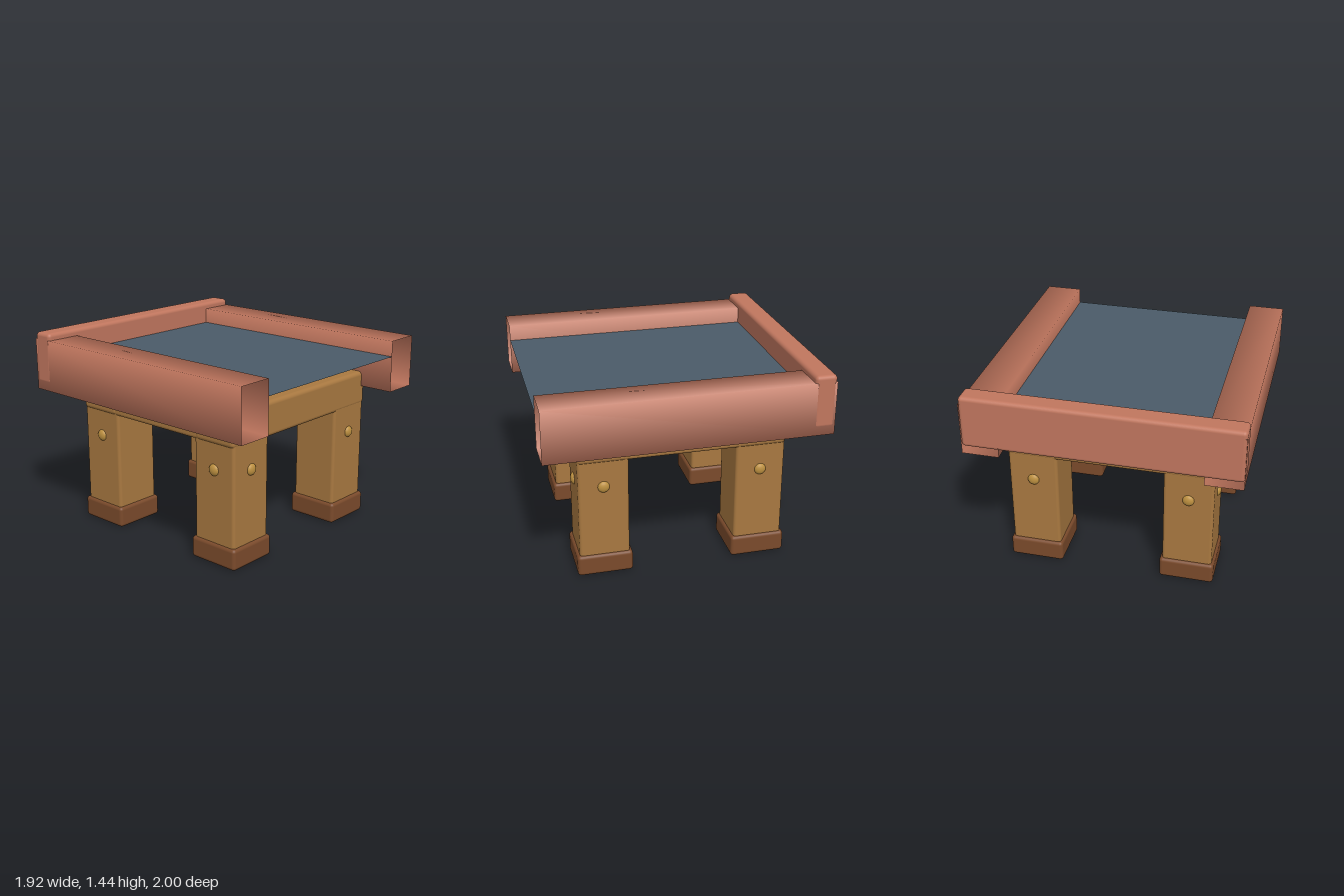
import * as THREE from 'three';
import { RoundedBoxGeometry } from 'three/addons/geometries/RoundedBoxGeometry.js';

function material(name, color, side = THREE.FrontSide) {
  const m = new THREE.MeshStandardMaterial({ color, side });
  m.name = name;
  return m;
}

export function createModel() {
  const model = new THREE.Group();
  model.name = 'table';

  const rail = material('terracotta', 0xc0765e, THREE.DoubleSide);
  const slate = material('slate', 0x4a5b68, THREE.DoubleSide);
  const wood = material('wood', 0xa87840);
  const darkWood = material('darkWood', 0x7a4a2b);
  const brass = material('brass', 0xbd9040);

  function add(name, geometry, mat, parent = model) {
    const mesh = new THREE.Mesh(geometry, mat);
    mesh.name = name;
    parent.add(mesh);
    return mesh;
  }

  // Rounded block given by its minimum and maximum corners
  function block(name, min, max, radius, mat, parent) {
    const size = max.map((v, i) => v - min[i]);
    const mesh = add(name, new RoundedBoxGeometry(...size, 3, radius), mat, parent);
    mesh.position.set(...max.map((v, i) => (v + min[i]) / 2));
    return mesh;
  }

  // Flat bed between the rails
  const bed = add('bed', new THREE.PlaneGeometry(1.4, 2).rotateX(-Math.PI / 2), slate);
  bed.position.y = 1.275;

  // Hollow side rails: open four-sided tubes with soft shading
  const tube = new THREE.CylinderGeometry(Math.SQRT1_2, Math.SQRT1_2, 1, 4, 1, true)
    .rotateY(Math.PI / 4)
    .rotateX(Math.PI / 2)
    .scale(0.26, 0.38, 2);
  for (const side of [-1, 1]) {
    const mesh = add(side > 0 ? 'leftRail' : 'rightRail', tube, rail);
    mesh.position.set(side * 0.83, 1.2, 0);
  }

  // Board closing the back
  block('backBoard', [-0.962, 1.06, -1], [0.962, 1.44, -0.845], 0.028, rail);

  // Thick frame under the bed
  block('frontApron', [-0.745, 0.867, 0.395], [0.745, 1.12, 0.742], 0.03, wood);
  block('backApron', [-0.745, 0.867, -0.742], [0.745, 1.12, -0.395], 0.03, wood);
  block('leftApron', [0.39, 0.867, -0.6], [0.74, 1.115, 0.6], 0.025, wood);
  block('rightApron', [-0.74, 0.867, -0.6], [-0.39, 1.115, 0.6], 0.025, wood);

  // Legs with a shoe and a round bolt head on each outer face
  const boltShape = new THREE.SphereGeometry(0.042, 20, 12);
  for (const sx of [-1, 1]) {
    for (const sz of [-1, 1]) {
      const leg = new THREE.Group();
      leg.name = (sz > 0 ? 'front' : 'back') + (sx > 0 ? 'Left' : 'Right') + 'Leg';
      leg.position.set(sx * 0.557, 0, sz * 0.561);
      model.add(leg);

      block('post', [-0.178, 0, -0.178], [0.178, 0.95, 0.178], 0.022, wood, leg);
      block('shoe', [-0.196, 0.001, -0.198], [0.196, 0.157, 0.198], 0.025, darkWood, leg);

      const faceBolt = add('faceBolt', boltShape, brass, leg);
      faceBolt.position.set(0, 0.685, sz * 0.176);
      faceBolt.scale.z = 0.6;

      const sideBolt = add('sideBolt', boltShape, brass, leg);
      sideBolt.position.set(sx * 0.176, 0.685, 0);
      sideBolt.scale.x = 0.6;
    }
  }

  return model;
}
